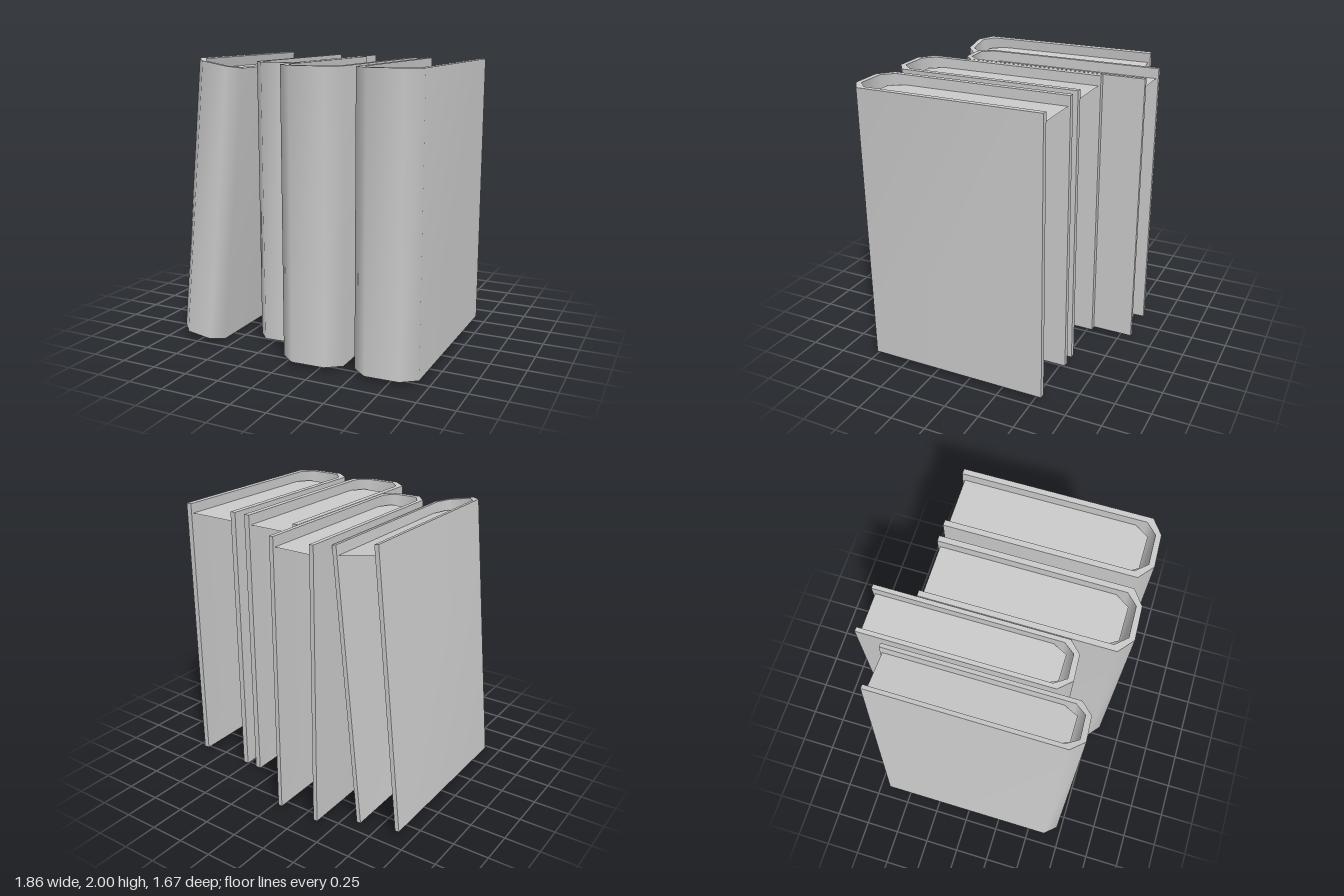
import * as THREE from 'three';
import { mergeGeometries } from 'three/addons/utils/BufferGeometryUtils.js';

const HALF = 0.9775; // half the height of a book

// Plan outlines as [x, z], from the left back edge round the spine to the right back edge
const OUTER = [[-0.2225, -0.69], [-0.2225, 0.607], [-0.1175, 0.692], [0.117, 0.682], [0.2225, 0.605], [0.2225, -0.69]];
const INNER = [[-0.1825, -0.69], [-0.1825, 0.575], [-0.112, 0.652], [0.108, 0.645], [0.1825, 0.572], [0.1825, -0.69]];
const PAGES = [[-0.1825, -0.675], [-0.1825, 0.507], [-0.12, 0.602], [0.12, 0.602], [0.1825, 0.507], [0.1825, -0.675]];

// Upright wall along a plan path, smooth along its length
function wall(path) {
  const pos = [], index = [];
  path.forEach(([x, z], i) => {
    pos.push(x, -HALF, z, x, HALF, z);
    if (i < path.length - 1) {
      const a = 2 * i;
      index.push(a, a + 2, a + 3, a, a + 3, a + 1);
    }
  });
  const g = new THREE.BufferGeometry();
  g.setAttribute('position', new THREE.Float32BufferAttribute(pos, 3));
  g.setIndex(index);
  g.computeVertexNormals();
  return g;
}

// Flat horizontal face from a plan outline, facing up (1) or down (-1)
function flat(outline, y, facing) {
  const shape = new THREE.Shape(outline.map(([x, z]) => new THREE.Vector2(x, -facing * z)));
  const g = new THREE.ShapeGeometry(shape);
  g.deleteAttribute('uv');
  return g.rotateX(-facing * Math.PI / 2).translate(0, y, 0);
}

function coverGeometry() {
  const inside = [...INNER].reverse();
  const ring = [...OUTER, ...inside];
  return mergeGeometries([
    wall(OUTER),
    wall(inside),
    wall([OUTER[5], INNER[5]]), // back edges of the two boards
    wall([INNER[0], OUTER[0]]),
    flat(ring, HALF, 1),
    flat(ring, -HALF, -1),
  ]);
}

export function createModel() {
  const model = new THREE.Group();
  model.name = 'books';
  const material = new THREE.MeshStandardMaterial({ color: 0xcccccc, side: THREE.DoubleSide });
  const cover = coverGeometry();
  const pages = flat(PAGES, HALF - 0.07, 1);

  // Each book: its sideways and upward axes, and its centre
  const up = [0, 1, 0];
  const books = [
    { name: 'rightBook', side: [1, 0, 0], up, at: [0.704, 1.0025, 0.143] },
    { name: 'middleBook', side: [1, 0, 0], up, at: [0.179, 1.0025, 0.143] },
    { name: 'thinBook', side: [0.753, 0, 0], up, at: [-0.216, 1.0025, -0.147] },
    { name: 'leaningBook', side: [0.748, -0.138, 0], up: [0.102, 0.991, 0], at: [-0.663, 1.0025, 0.023] },
  ];
  for (const b of books) {
    const matrix = new THREE.Matrix4()
      .makeBasis(new THREE.Vector3(...b.side), new THREE.Vector3(...b.up), new THREE.Vector3(0, 0, 1))
      .setPosition(...b.at);
    const book = new THREE.Group();
    book.name = b.name;
    for (const [name, geometry] of [['cover', cover], ['pages', pages]]) {
      const mesh = new THREE.Mesh(geometry.clone().applyMatrix4(matrix), material);
      mesh.name = name;
      book.add(mesh);
    }
    model.add(book);
  }
  return model;
}
